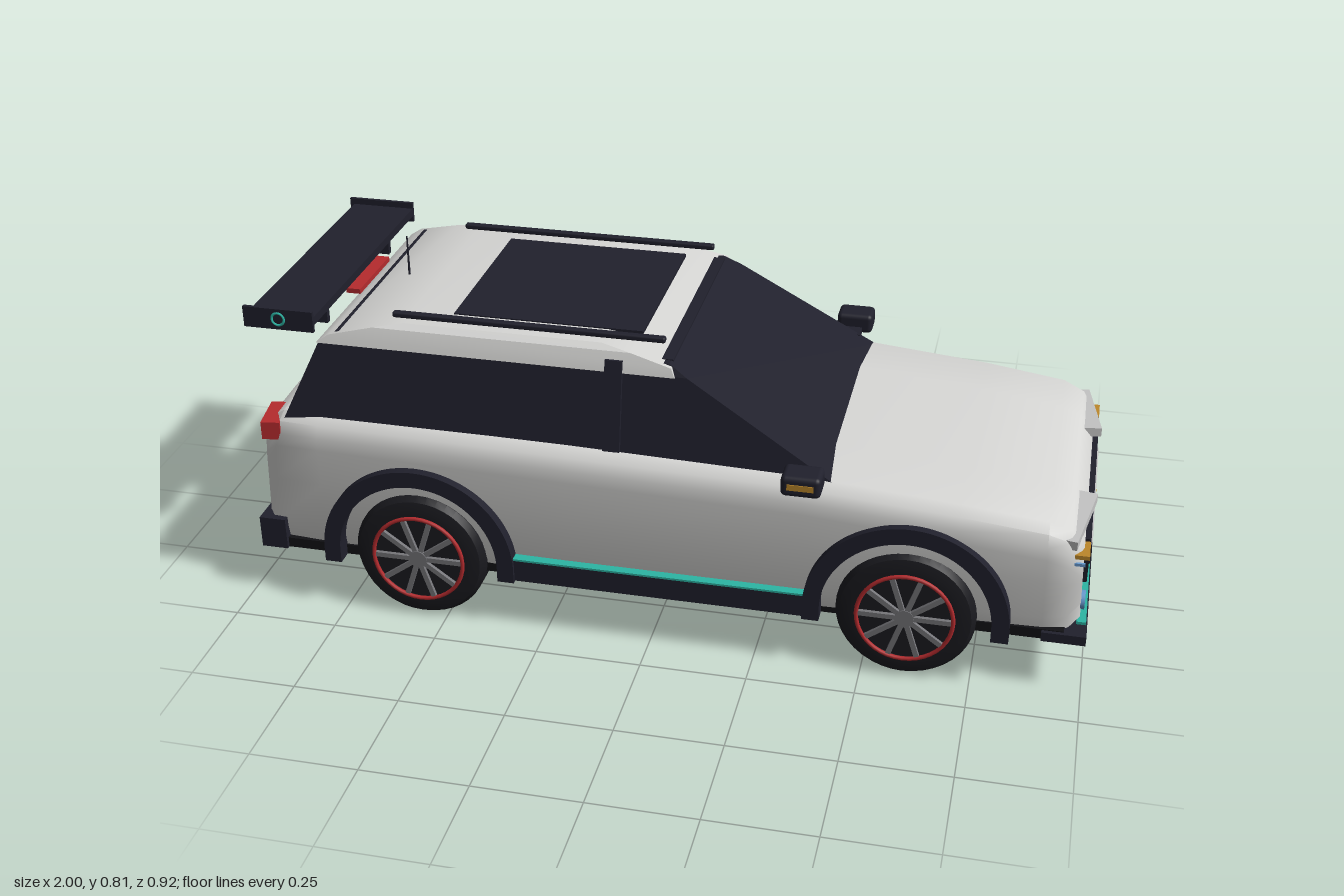
import * as THREE from 'three';
import { toCreasedNormals } from 'three/addons/utils/BufferGeometryUtils.js';
import { RoundedBoxGeometry } from 'three/addons/geometries/RoundedBoxGeometry.js';

function paint(name, color) {
  const m = new THREE.MeshStandardMaterial({ color });
  m.name = name;
  return m;
}

// Skin closed rings of [x, y, z] points and cap both ends
function loft(rings, crease) {
  const n = rings[0].length, pos = [], idx = [];
  rings.forEach(r => r.forEach(p => pos.push(...p)));
  for (let i = 0; i < rings.length - 1; i++) {
    for (let j = 0; j < n; j++) {
      const a = i * n + j, b = i * n + (j + 1) % n;
      idx.push(a, a + n, b + n, a, b + n, b);
    }
  }
  [0, rings.length - 1].forEach((r, end) => {
    const c = pos.length / 3;
    pos.push(...[0, 1, 2].map(k => rings[r].reduce((s, p) => s + p[k], 0) / n));
    for (let j = 0; j < n; j++) {
      const a = r * n + j, b = r * n + (j + 1) % n;
      if (end) idx.push(c, b, a); else idx.push(c, a, b);
    }
  });
  const g = new THREE.BufferGeometry();
  g.setAttribute('position', new THREE.Float32BufferAttribute(pos, 3));
  g.setIndex(idx);
  return toCreasedNormals(g, crease);
}

// Body cross-section: bottom x, top x, half width, bottom y, top y
function bodySection([xb, xt, w, b, t]) {
  const half = [[0.94, b], [0.965, b + 0.04], [0.985, (b + t) / 2], [1, t - 0.08], [0.995, t - 0.05],
    [0.97, t - 0.02], [0.9, t - 0.003], [0.5, t + 0.003]]
    .map(([f, y]) => [xb + (xt - xb) * (y - b) / (t - b), y, w * f]);
  return [...half, ...half.slice().reverse().map(([x, y, z]) => [x, y, -z])];
}

// Horizontal rectangle: height, rear x, front x, half width
const level = ([y, x0, x1, z]) => [[x1, y, z], [x0, y, z], [x0, y, -z], [x1, y, -z]];

export function createModel() {
  const car = new THREE.Group();
  car.name = 'car';
  const white = paint('bodyPaint', 0xd6d6d4), dark = paint('darkTrim', 0x20202c),
    rubber = paint('tyreRubber', 0x1a1a1f), black = paint('underbodyBlack', 0x121216),
    red = paint('red', 0xb52b2e), teal = paint('tealAccent', 0x2cb5a4),
    amber = paint('amber', 0xbd882b), blue = paint('lampBlue', 0x679bd2),
    silver = paint('silver', 0xc4c4c4), grey = paint('spokeGrey', 0x76767a);

  function add(name, geo, mat, x = 0, y = 0, z = 0, parent = car) {
    const m = new THREE.Mesh(geo, mat);
    m.name = name;
    m.position.set(x, y, z);
    parent.add(m);
    return m;
  }
  // Box given by its low and high limits
  function box(name, mat, [x0, x1], [y0, y1], [z0, z1], parent = car) {
    return add(name, new THREE.BoxGeometry(x1 - x0, y1 - y0, Math.abs(z1 - z0)), mat,
      (x0 + x1) / 2, (y0 + y1) / 2, (z0 + z1) / 2, parent);
  }

  // Lower body
  add('body', loft([
    [-0.96, -0.94, 0.355, 0.15, 0.455], [-0.95, -0.895, 0.378, 0.14, 0.488],
    [-0.8, -0.8, 0.39, 0.14, 0.492], [-0.2, -0.2, 0.4, 0.14, 0.485],
    [0.35, 0.35, 0.4, 0.14, 0.472], [0.7, 0.7, 0.395, 0.14, 0.442],
    [0.9, 0.895, 0.387, 0.14, 0.418], [0.955, 0.945, 0.376, 0.145, 0.397],
    [0.982, 0.975, 0.348, 0.165, 0.36]].map(bodySection), 0.75), white);
  box('underbody', black, [-0.92, 0.95], [0.125, 0.15], [-0.375, 0.375]);

  // Glasshouse and roof
  add('glasshouse', loft([[0.46, -0.895, 0.415, 0.362], [0.665, -0.8, 0.072, 0.322],
    [0.69, -0.76, 0.03, 0.308]].map(level), 0.2), dark);
  add('roof', loft([[0.664, -0.805, 0.045, 0.327], [0.685, -0.775, 0.036, 0.321],
    [0.709, -0.67, -0.06, 0.311], [0.72, -0.6, -0.13, 0.295]].map(level), 0.5), white);
  box('sunroof', dark, [-0.5, -0.05], [0.716, 0.723], [-0.225, 0.225]);
  box('windshieldTopBar', dark, [0.005, 0.035], [0.682, 0.692], [-0.29, 0.29]);
  add('antenna', new THREE.CylinderGeometry(0.002, 0.003, 0.1, 8), dark, -0.69, 0.755, 0);

  // Rear wing
  box('wingBlade', dark, [-0.96, -0.8], [0.713, 0.733], [-0.335, 0.335]);
  box('highBrakeLight', red, [-0.815, -0.78], [0.688, 0.7], [-0.1, 0.1]);

  // Nose
  box('splitter', dark, [0.9, 1], [0.125, 0.148], [-0.385, 0.385]);
  box('splitterAccent', teal, [0.975, 0.997], [0.148, 0.155], [-0.335, 0.335]);
  box('grille', dark, [0.96, 0.99], [0.205, 0.32], [-0.245, 0.245]);
  box('lowerIntake', dark, [0.96, 0.996], [0.175, 0.225], [-0.115, 0.115]);
  box('grilleStrip', silver, [0.988, 0.994], [0.294, 0.3], [-0.225, 0.225]);
  box('grilleBadge', amber, [0.988, 0.995], [0.27, 0.29], [-0.038, 0.038]);

  // Tail
  box('rearBumper', dark, [-0.97, -0.905], [0.125, 0.205], [-0.385, 0.385]);
  box('plateHolder', dark, [-0.976, -0.95], [0.26, 0.31], [-0.11, 0.11]);
  box('rearPlate', white, [-0.98, -0.975], [0.26, 0.31], [-0.11, 0.11]);

  // Wheel arch outline with short straight legs
  const R = 0.235, r = 0.195, foot = -0.035;
  const arch = new THREE.Shape();
  arch.moveTo(R, foot);
  arch.lineTo(R, 0);
  arch.absarc(0, 0, R, 0, Math.PI, false);
  arch.lineTo(-R, foot);
  arch.lineTo(-r, foot);
  arch.lineTo(-r, 0);
  arch.absarc(0, 0, r, Math.PI, 0, true);
  arch.lineTo(r, foot);
  const flareGeo = toCreasedNormals(new THREE.ExtrudeGeometry(arch,
    { depth: 0.055, bevelEnabled: false, curveSegments: 32 }), 0.5);

  const tyreGeo = toCreasedNormals(new THREE.LatheGeometry([[0, -0.05], [0.13, -0.05], [0.15, -0.045],
    [0.16, -0.03], [0.16, 0.03], [0.15, 0.045], [0.13, 0.05], [0.113, 0.05], [0.108, 0.046], [0, 0.046]]
    .map(p => new THREE.Vector2(...p)), 40).rotateX(Math.PI / 2), 0.6);
  const rimGeo = new THREE.TorusGeometry(0.11, 0.005, 8, 40);
  const hubGeo = new THREE.CylinderGeometry(0.022, 0.022, 0.014, 20).rotateX(Math.PI / 2);
  const spokeGeo = new THREE.BoxGeometry(0.088, 0.012, 0.01).translate(0.062, 0, 0);

  for (const s of [1, -1]) {
    const side = s > 0 ? 'front' : 'back';
    const span = (a, b) => [s * a, s * b];

    // Wheels and flares
    for (const x of [-0.56, 0.595]) {
      const wheel = new THREE.Group();
      wheel.name = 'wheel';
      wheel.position.set(x, 0.16, s * 0.36);
      if (s < 0) wheel.rotation.y = Math.PI;
      add('tyre', tyreGeo, rubber, 0, 0, 0, wheel);
      add('rimRing', rimGeo, red, 0, 0, 0.053, wheel);
      add('hub', hubGeo, grey, 0, 0, 0.05, wheel);
      for (let i = 0; i < 10; i++) {
        add('spoke', spokeGeo, grey, 0, 0, 0.05, wheel).rotation.z = i * Math.PI / 5;
      }
      car.add(wheel);
      add('wheelFlare', flareGeo, dark, x, 0.16, s > 0 ? 0.36 : -0.415);
    }

    // Sills
    box('sideSkirt', dark, [-0.34, 0.375], [0.128, 0.184], span(0.36, 0.407));
    box('skirtAccent', teal, [-0.33, 0.365], [0.183, 0.188], span(0.37, 0.408));

    // Centre pillar, leaning with the glass
    const pillar = add('centrePillar', new THREE.BoxGeometry(0.04, 0.215, 0.012), dark, -0.095, 0.587, s * 0.342);
    pillar.rotation.x = -s * 0.19;

    // Roof rail
    add('roofRail', new RoundedBoxGeometry(0.645, 0.014, 0.018, 2, 0.005), dark, -0.31, 0.729, s * 0.268);

    // Mirror
    add('mirror', new RoundedBoxGeometry(0.09, 0.05, 0.07, 3, 0.012), dark, 0.355, 0.495, s * 0.425);
    box('mirrorArm', dark, [0.335, 0.375], [0.472, 0.488], span(0.345, 0.4));
    box('mirrorIndicator', amber, [0.325, 0.385], [0.489, 0.503], span(0.456, 0.462));

    // Wing end plate and support
    box('wingEndPlate', dark, [-0.97, -0.8], [0.697, 0.748], span(0.335, 0.344));
    box('wingSupport', dark, [-0.88, -0.82], [0.66, 0.715], span(0.2, 0.215));
    add(side + 'WingAccent', new THREE.TorusGeometry(0.015, 0.003, 6, 20), teal, -0.885, 0.723, s * 0.344);

    // Front lights
    const lamp = add('headlight', new THREE.BoxGeometry(0.05, 0.022, 0.215), silver, 0.952, 0.376, s * 0.26);
    lamp.rotation.set(s * 0.03, -s * 0.17, 0);
    box('frontIndicator', amber, [0.95, 0.988], [0.337, 0.347], span(0.3, 0.364));
    box('markerLight', blue, [0.95, 0.98], [0.321, 0.328], span(0.361, 0.367));
    add('fogLamp', new THREE.CylinderGeometry(0.022, 0.022, 0.03, 24).rotateZ(Math.PI / 2), blue, 0.974, 0.203, s * 0.315);

    // Tail lamp and exhaust
    const tail = add('tailLight', new THREE.BoxGeometry(0.045, 0.045, 0.105), red, -0.925, 0.446, s * 0.328);
    tail.rotation.y = s * 0.15;
    add('exhaust', new THREE.CylinderGeometry(0.018, 0.018, 0.06, 20).rotateZ(Math.PI / 2), silver, -0.97, 0.168, s * 0.19);
  }
  return car;
}
